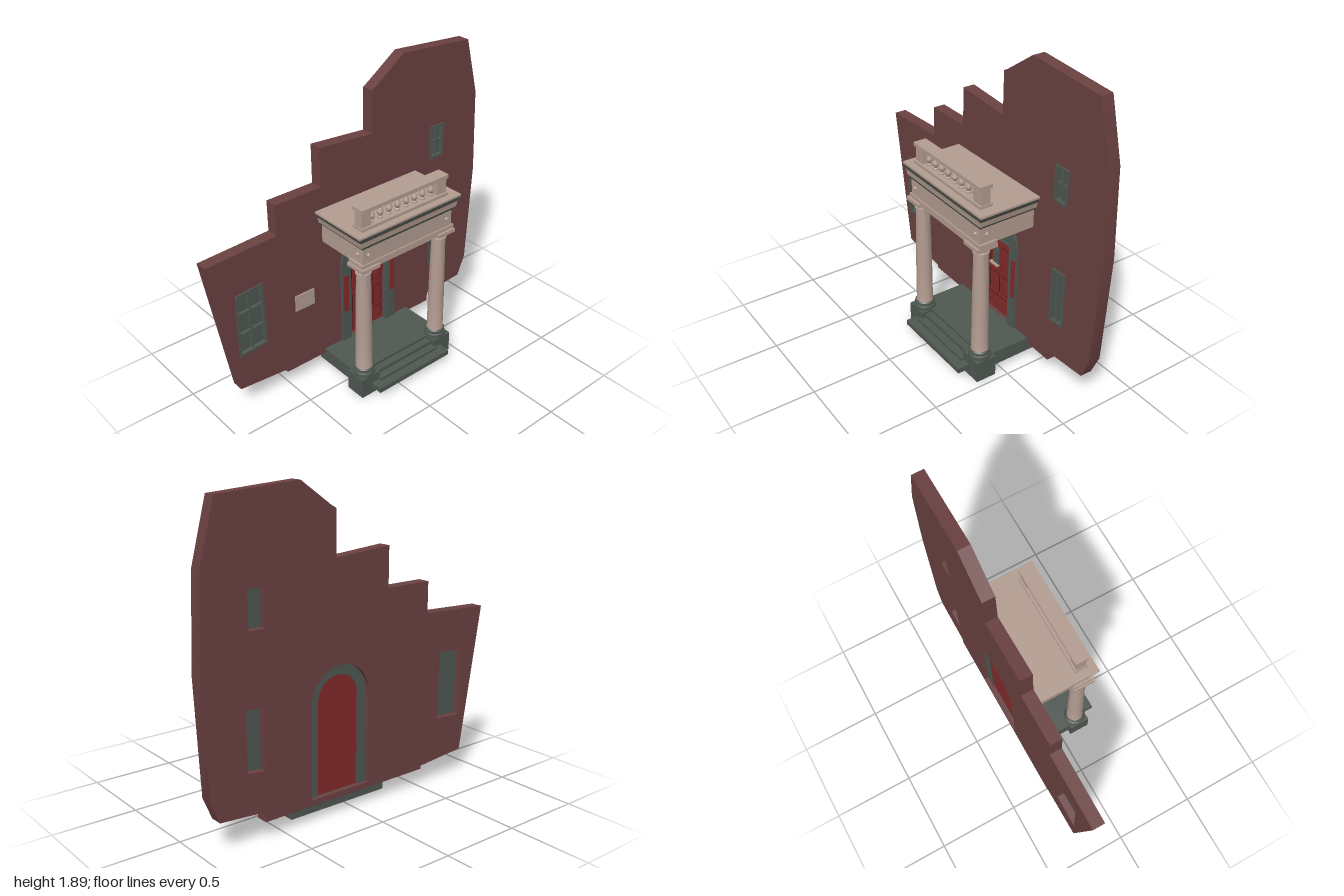
import * as THREE from 'three';
import { toCreasedNormals } from 'three/addons/utils/BufferGeometryUtils.js';

const mat = (name, color) => Object.assign(new THREE.MeshStandardMaterial({ color }), { name });

export function createModel() {
  const brick = mat('brick red', 0x6a4040);
  const stone = mat('pale stone', 0xb39c91);
  const slate = mat('slate grey', 0x4f5751);
  const red = mat('door red', 0x832a2a);
  const dark = mat('dark groove', 0x431c1c);
  const root = new THREE.Group();

  const add = (name, geo, material, parent = root) => {
    const m = new THREE.Mesh(geo, material);
    m.name = name;
    parent.add(m);
    return m;
  };
  const group = (name) => {
    const g = new THREE.Group();
    g.name = name;
    root.add(g);
    return g;
  };
  // box given by its limits
  const box = (name, x0, x1, y0, y1, z0, z1, material, parent) => {
    const g = new THREE.BoxGeometry(x1 - x0, y1 - y0, z1 - z0);
    g.translate((x0 + x1) / 2, (y0 + y1) / 2, (z0 + z1) / 2);
    return add(name, g, material, parent);
  };
  const poly = (pts) => new THREE.Shape(pts.map(([x, y]) => new THREE.Vector2(x, y)));
  // flat shape with optional holes, from z0 to z1
  const plate = (name, shape, z0, z1, material, parent, holes = []) => {
    shape.holes.push(...holes);
    const g = new THREE.ExtrudeGeometry(shape, { depth: z1 - z0, bevelEnabled: false, curveSegments: 20 });
    g.translate(0, 0, z0);
    return add(name, toCreasedNormals(g, 0.5), material, parent);
  };
  const arch = (cx, r, y0, spring) => {
    const s = new THREE.Shape();
    s.moveTo(cx - r, y0);
    s.lineTo(cx + r, y0);
    s.lineTo(cx + r, spring);
    s.absarc(cx, spring, r, 0, Math.PI, false);
    s.lineTo(cx - r, y0);
    return s;
  };
  const lathe = (pts, seg) => toCreasedNormals(
    new THREE.LatheGeometry(pts.map(([r, y]) => new THREE.Vector2(r, y)), seg), 0.6);

  // windows: corners bottom left, bottom right, top right, top left
  const windows = [
    { name: 'largeWindow', c: [[-0.84, 0.385], [-0.645, 0.4], [-0.655, 0.815], [-0.835, 0.8]], rows: 3 },
    { name: 'upperWindow', c: [[0.605, 1.16], [0.71, 1.16], [0.715, 1.375], [0.605, 1.375]], rows: 2 },
    { name: 'lowerWindow', c: [[0.62, 0.39], [0.735, 0.405], [0.735, 0.75], [0.625, 0.745]], rows: 1 },
  ];
  const CX = 0.11, SPRING = 0.675;

  // facade wall with openings
  const outline = [[-1, 1.05], [-0.85, 0.155], [-0.52, 0.125], [-0.52, 0.105], [0.625, 0.1], [0.625, 0.16],
    [0.91, 0.18], [0.965, 0.31], [1, 0.97], [0.98, 1.5], [0.89, 1.85], [0.38, 1.89], [0.18, 1.75],
    [0.145, 1.73], [0.145, 1.47], [-0.23, 1.5], [-0.23, 1.26], [-0.54, 1.26], [-0.54, 1.07]];
  plate('facadeWall', poly(outline), -0.265, -0.19, brick, root,
    [arch(CX, 0.205, 0.135, SPRING), ...windows.map((w) => poly(w.c))]);

  for (const w of windows) {
    const g = group(w.name);
    const [bl, br, tr, tl] = w.c;
    const at = (u, v) => [0, 1].map((i) =>
      (bl[i] * (1 - u) + br[i] * u) * (1 - v) + (tl[i] * (1 - u) + tr[i] * u) * v);
    const quad = (u0, u1, v0, v1) => poly([at(u0, v0), at(u1, v0), at(u1, v1), at(u0, v1)]);
    const du = 0.014 / (br[0] - bl[0]), dv = 0.014 / (tl[1] - bl[1]);
    plate('frame', quad(0, 1, 0, 1), -0.215, -0.182, slate, g, [quad(du, 1 - du, dv, 1 - dv)]);
    plate('pane', quad(0, 1, 0, 1), -0.222, -0.208, slate, g);
    plate('mullion', quad(0.5 - du / 2, 0.5 + du / 2, 0, 1), -0.21, -0.193, slate, g);
    for (let i = 1; i < w.rows; i++) {
      const v = i / w.rows;
      plate('glazingBar', quad(0, 1, v - dv / 2, v + dv / 2), -0.21, -0.19, slate, g);
    }
  }

  // arched door surround with sidelights
  const door = group('doorway');
  plate('surround', arch(CX, 0.213, 0.135, SPRING), -0.24, -0.176, slate, door, [arch(CX, 0.142, 0.135, SPRING)]);
  plate('archMoulding', arch(CX, 0.144, 0.135, SPRING), -0.22, -0.19, slate, door, [arch(CX, 0.136, 0.135, SPRING)]);
  for (const x of [-0.09, 0.28]) box('sidelight', x, x + 0.036, 0.35, 0.61, -0.18, -0.172, red, door);
  plate('doorBack', arch(CX, 0.143, 0.135, SPRING), -0.232, -0.222, red, door);
  plate('fanlight', arch(CX, 0.14, 0.655, SPRING), -0.222, -0.208, slate, door);
  plate('fanlightRim', arch(CX, 0.14, 0.655, SPRING), -0.21, -0.2, slate, door, [arch(CX, 0.116, 0.665, SPRING)]);
  box('doorLeaf', CX - 0.138, CX + 0.138, 0.143, 0.655, -0.224, -0.205, red, door);
  const panels = [[-0.01, 0.05, 0.465, 0.61], [0.155, 0.225, 0.465, 0.61], [-0.005, 0.05, 0.29, 0.415],
    [0.08, 0.14, 0.29, 0.415], [0.16, 0.225, 0.29, 0.415], [-0.01, 0.225, 0.185, 0.255]];
  for (const [x0, x1, y0, y1] of panels) {
    box('panelGroove', x0, x1, y0, y1, -0.206, -0.203, dark, door);
    box('panel', x0 + 0.006, x1 - 0.006, y0 + 0.006, y1 - 0.006, -0.206, -0.199, red, door);
  }
  plate('doorLight', arch(0.1, 0.025, 0.48, 0.575), -0.206, -0.199, slate, door);
  box('doorLightSill', 0.055, 0.13, 0.468, 0.48, -0.206, -0.185, stone, door);

  // diamond ornament in the fanlight
  const diamond = (r) => poly([[0.112 - r, 0.72], [0.112, 0.72 - r], [0.112 + r, 0.72], [0.112, 0.72 + r]]);
  plate('diamondBorder', diamond(0.059), -0.209, -0.2, stone, door);
  plate('diamond', diamond(0.053), -0.205, -0.197, red, door);
  plate('diamondCentre', diamond(0.024), -0.2, -0.194, stone, door);

  box('wallPlaque', -0.44, -0.305, 0.515, 0.62, -0.195, -0.182, stone);

  // landing and steps
  const steps = group('steps');
  box('landing', -0.235, 0.435, 0.045, 0.135, -0.235, 0.12, slate, steps);
  box('upperStep', -0.12, 0.32, 0.045, 0.118, 0.1, 0.165, slate, steps);
  box('middleStep', -0.13, 0.33, 0.045, 0.095, 0.1, 0.212, slate, steps);
  box('bottomStep', -0.18, 0.38, 0.045, 0.077, 0.1, 0.265, slate, steps);

  // columns
  const baseProfile = [[0, 0.13], [0.064, 0.13], [0.067, 0.14], [0.064, 0.153], [0.056, 0.157], [0.056, 0.163],
    [0.061, 0.168], [0.06, 0.178], [0.053, 0.186], [0, 0.186]];
  const shaftProfile = [[0.053, 0.185], [0.05, 0.2], [0.049, 0.4], [0.046, 0.62], [0.042, 0.835], [0.048, 0.838],
    [0.048, 0.848], [0.042, 0.851], [0.042, 0.865], [0.05, 0.872], [0.058, 0.885], [0, 0.885]];
  for (const x of [-0.188, 0.392]) {
    const g = group('column');
    box('plinth', x - 0.068, x + 0.068, 0, 0.133, 0.06, 0.19, slate, g);
    add('base', lathe(baseProfile, 28), slate, g).position.set(x, 0, 0.125);
    add('shaft', lathe(shaftProfile, 28), stone, g).position.set(x, 0, 0.125);
    box('abacus', x - 0.065, x + 0.065, 0.88, 0.902, 0.06, 0.195, stone, g);
  }

  // entablature: layers flaring outward on three sides, flat against the wall
  const porch = group('porchRoof');
  const layer = (name, y0, y1, o0, o1, material) => {
    const g = new THREE.BoxGeometry(1, 1, 1), p = g.attributes.position;
    for (let i = 0; i < p.count; i++) {
      const o = p.getY(i) > 0 ? o1 : o0;
      p.setXYZ(i, 0.107 + Math.sign(p.getX(i)) * (0.336 + o), p.getY(i) > 0 ? y1 : y0,
        p.getZ(i) > 0 ? 0.172 + o * 0.6 : -0.195);
    }
    g.computeVertexNormals();
    add(name, g, material, porch);
  };
  box('architrave', -0.243, 0.457, 0.886, 0.925, 0.065, 0.18, stone, porch);
  layer('frieze', 0.91, 1.025, 0, 0, stone);
  layer('lowerMoulding', 1.025, 1.045, 0.006, 0.016, slate);
  layer('corona', 1.045, 1.08, 0.022, 0.03, stone);
  layer('upperMoulding', 1.08, 1.11, 0.03, 0.043, slate);
  layer('roofSlab', 1.11, 1.122, 0.046, 0.046, stone);
  // small rosettes on the frieze
  for (const x of [-0.19, 0.404]) {
    const r = add('rosette', new THREE.CylinderGeometry(0.008, 0.014, 0.012, 12), stone, porch);
    r.rotation.x = Math.PI / 2;
    r.position.set(x, 0.975, 0.176);
  }
  for (const s of [-1, 1]) {
    const r = add('sideRosette', new THREE.CylinderGeometry(0.008, 0.014, 0.012, 12), stone, porch);
    r.rotation.z = -s * Math.PI / 2;
    r.position.set(0.107 + s * 0.34, 0.975, 0.125);
  }

  // balustrade
  const rail = group('balustrade');
  box('bottomRail', -0.222, 0.422, 1.12, 1.14, 0.075, 0.157, stone, rail);
  box('topRail', -0.222, 0.422, 1.232, 1.255, 0.075, 0.157, stone, rail);
  for (const x of [-0.217, 0.347]) box('pedestal', x, x + 0.07, 1.135, 1.235, 0.087, 0.145, stone, rail);
  const baluster = lathe([[0.016, 1.138], [0.016, 1.148], [0.009, 1.154], [0.019, 1.17], [0.02, 1.182],
    [0.009, 1.202], [0.008, 1.21], [0.014, 1.215], [0.012, 1.222], [0.016, 1.225], [0.016, 1.235]], 12);
  for (let i = 0; i < 8; i++) add('baluster', baluster, stone, rail).position.set(-0.122 + i * 0.0635, 0, 0.116);

  return root;
}
